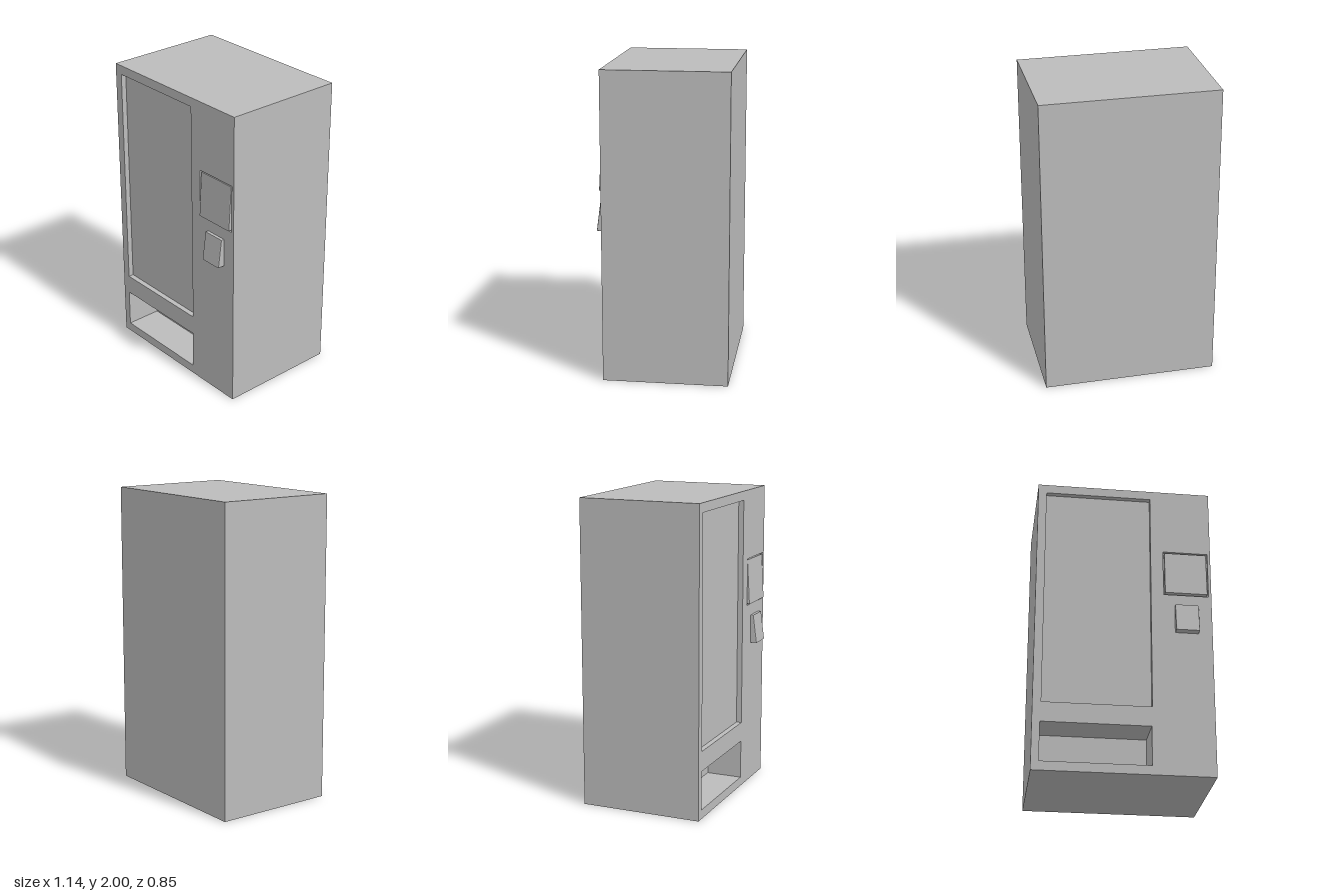
import * as THREE from 'three';

const FRONT = 0.38, BACK = -0.425, HALF_W = 0.57, HEIGHT = 2;

// Recesses cut into the front: x0, x1, y0, y1, depth
const RECESSES = {
  displayWindow: [-0.515, 0.175, 0.445, 1.94, 0.035],
  deliveryTray: [-0.52, 0.17, 0.06, 0.315, 0.24],
  screenRecess: [0.257, 0.551, 1.232, 1.546, 0.02],
};

// Box with its front (+z) face left out; inward turns the faces inside
function openBox(x0, x1, y0, y1, z0, z1, inward) {
  const g = new THREE.BoxGeometry(x1 - x0, y1 - y0, z1 - z0);
  g.translate((x0 + x1) / 2, (y0 + y1) / 2, (z0 + z1) / 2);
  const index = Array.from(g.index.array).filter((_, i) => i < 24 || i >= 30);
  g.clearGroups();
  if (inward) {
    index.reverse();
    const n = g.attributes.normal;
    for (let i = 0; i < n.array.length; i++) n.array[i] *= -1;
  }
  g.setIndex(index);
  return g;
}

// Side profile of [z, y] points, extruded along x with softened edges
function wedge(x0, x1, profile) {
  const bevel = 0.006;
  const shape = new THREE.Shape(profile.map(([z, y]) => new THREE.Vector2(z, y)));
  const g = new THREE.ExtrudeGeometry(shape, {
    depth: x1 - x0 - 2 * bevel, bevelEnabled: true, bevelSize: bevel,
    bevelThickness: bevel, bevelOffset: -bevel, bevelSegments: 2,
  });
  g.rotateY(-Math.PI / 2);
  g.translate(x1 - bevel, 0, 0);
  return g;
}

function rectangle(PathType, x0, x1, y0, y1) {
  return new PathType([[x0, y0], [x1, y0], [x1, y1], [x0, y1]].map(([x, y]) => new THREE.Vector2(x, y)));
}

export function createModel() {
  const model = new THREE.Group();
  model.name = 'vendingMachine';
  const grey = new THREE.MeshStandardMaterial({ color: 0xbcbcbc });
  grey.name = 'grey';
  const add = (name, geometry) => {
    const mesh = new THREE.Mesh(geometry, grey);
    mesh.name = name;
    model.add(mesh);
  };

  // Cabinet shell and front panel with openings
  add('cabinet', openBox(-HALF_W, HALF_W, 0, HEIGHT, BACK, FRONT, false));
  const face = rectangle(THREE.Shape, -HALF_W, HALF_W, 0, HEIGHT);
  for (const [x0, x1, y0, y1] of Object.values(RECESSES)) {
    face.holes.push(rectangle(THREE.Path, x0, x1, y0, y1));
  }
  add('frontPanel', new THREE.ShapeGeometry(face).translate(0, 0, FRONT));

  // Walls and backs of the recesses
  for (const [name, [x0, x1, y0, y1, depth]] of Object.entries(RECESSES)) {
    add(name, openBox(x0, x1, y0, y1, FRONT - depth, FRONT, true));
  }

  // Tilted screen and keypad
  add('screen', wedge(0.265, 0.543, [[0.35, 1.241], [0.395, 1.241], [0.378, 1.538], [0.35, 1.538]]));
  add('keypad', wedge(0.328, 0.481, [[0.36, 0.962], [0.425, 0.966], [0.4, 1.155], [0.36, 1.155]]));

  return model;
}
